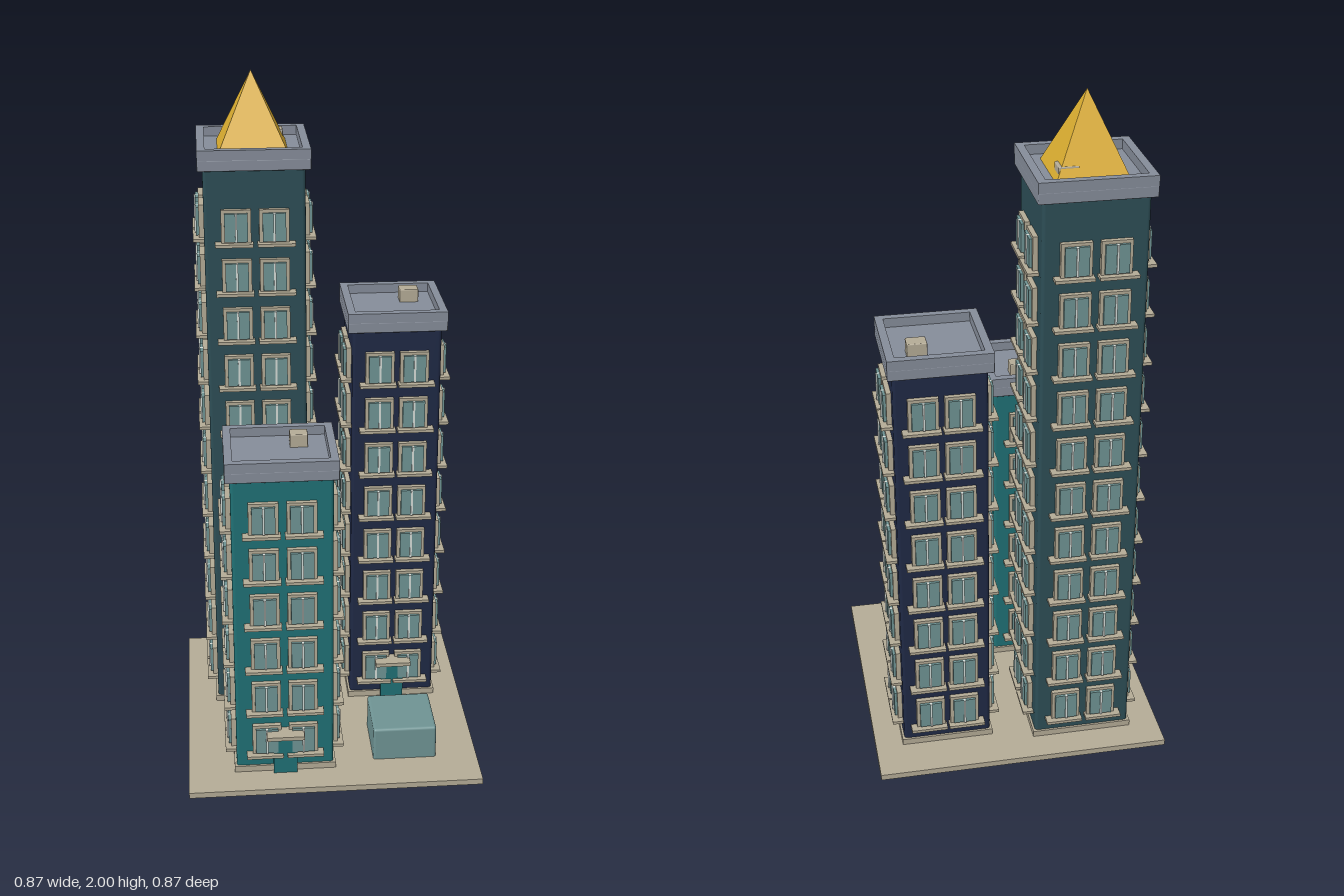
import * as THREE from 'three';
import { mergeGeometries } from 'three/addons/utils/BufferGeometryUtils.js';
import { RoundedBoxGeometry } from 'three/addons/geometries/RoundedBoxGeometry.js';

function material(name, color) {
  const m = new THREE.MeshStandardMaterial({ color });
  m.name = name;
  return m;
}

const mats = {
  stone: material('sandstone', 0xb5ac97),
  slate: material('slate roof', 0x868d9a),
  gold: material('gold', 0xdcae30),
  glass: material('glass teal', 0x6f9494),
  pale: material('pale mullion', 0xd5dcd8),
  darkTeal: material('dark teal wall', 0x2d4e56),
  navy: material('navy wall', 0x1f2945),
  teal: material('teal wall', 0x207175),
};

// Box spanning w x h x d around (x, y, z)
function box(w, h, d, x, y, z) {
  return new THREE.BoxGeometry(w, h, d).translate(x, y, z);
}

function rounded(w, h, d, r, x, y, z) {
  return new RoundedBoxGeometry(w, h, d, 2, r).translate(x, y, z);
}

function add(group, name, geometry, mat) {
  const mesh = new THREE.Mesh(geometry, mat);
  mesh.name = name;
  group.add(mesh);
}

const GROUND = 0.018;
const FIRST_ROW = 0.132;
const STOREY = 0.1457;

// Two windows per storey on each of the four walls
function addWindows(group, w, d, rows, spread) {
  const frames = [], panes = [], mullions = [], sills = [];
  for (let side = 0; side < 4; side++) {
    const wall = side % 2 ? w : d;
    const length = side % 2 ? d : w;
    const s = length < 0.25 ? 0.93 : 1;
    const place = (list, g) => list.push(g.translate(0, 0, wall / 2).rotateY(side * Math.PI / 2));
    for (let i = 0; i < rows; i++) {
      const y = FIRST_ROW + i * STOREY;
      for (const sx of [-1, 1]) {
        const x = sx * spread * s;
        place(frames, box(0.085 * s, 0.1, 0.018, x, y, 0.005));
        for (const p of [-1, 1]) {
          place(panes, box(0.03 * s, 0.082, 0.022, x + p * 0.018 * s, y, 0.011));
        }
        place(mullions, box(0.006, 0.082, 0.026, x, y, 0.013));
        place(sills, box(0.108 * s, 0.009, 0.032, sx * (spread + 0.006) * s, y - 0.05, 0.016));
      }
    }
  }
  add(group, 'windowFrames', mergeGeometries(frames), mats.stone);
  add(group, 'windowPanes', mergeGeometries(panes), mats.glass);
  add(group, 'windowMullions', mergeGeometries(mullions), mats.pale);
  add(group, 'windowSills', mergeGeometries(sills), mats.stone);
}

function makeTower({ name, x, z, w, d, top, rows, spread, wall, boxSize, boxAt }) {
  const g = new THREE.Group();
  g.name = name;
  g.position.set(x, 0, z);

  // Walls and plinth
  add(g, 'walls', rounded(w, top + 0.008, d, 0.01, 0, top / 2 + 0.006, 0), wall);
  add(g, 'plinth', box(w + 0.013, 0.024, d + 0.013, 0, 0.025, 0), mats.stone);
  addWindows(g, w, d, rows, spread);

  // Roof slab with a parapet around it
  const rw = w + 0.029, rd = d + 0.029, t = 0.023;
  add(g, 'roofSlab', rounded(rw, 0.032, rd, 0.003, 0, top + 0.016, 0), mats.slate);
  const parapet = [];
  for (const s of [-1, 1]) {
    parapet.push(box(rw, 0.029, t, 0, top + 0.045, s * (rd - t) / 2));
    parapet.push(box(t, 0.029, rd - 2 * t, s * (rw - t) / 2, top + 0.045, 0));
  }
  add(g, 'parapet', mergeGeometries(parapet), mats.slate);
  const [bw, bd] = boxSize;
  add(g, 'roofVent', rounded(bw, 0.042, bd, 0.003, boxAt[0], top + 0.05, boxAt[1]), mats.stone);

  // Entrance
  add(g, 'door', box(0.07, 0.125, 0.026, 0, GROUND + 0.0625, d / 2 + 0.007), mats.teal);
  add(g, 'doorCanopy', box(0.11, 0.012, 0.055, 0, 0.16, d / 2 + 0.0275), mats.stone);
  return g;
}

export function createModel() {
  const model = new THREE.Group();
  model.name = 'cityBlock';

  add(model, 'ground', box(0.87, GROUND, 0.87, 0, GROUND / 2, 0), mats.stone);

  const tall = makeTower({
    name: 'tallTower', x: -0.195, z: -0.195, w: 0.289, d: 0.289, top: 1.75, rows: 11,
    spread: 0.054, wall: mats.darkTeal, boxSize: [0.056, 0.05], boxAt: [0.063, -0.059],
  });
  // Four-sided gold spire
  const spire = new THREE.ConeGeometry(0.1 * Math.SQRT2, 0.219, 4, 1).toNonIndexed();
  spire.computeVertexNormals();
  spire.rotateY(Math.PI / 4).translate(0, 1.781 + 0.1095, 0);
  add(tall, 'spire', spire, mats.gold);
  model.add(tall);

  model.add(makeTower({
    name: 'middleTower', x: 0.215, z: -0.172, w: 0.263, d: 0.263, top: 1.265, rows: 8,
    spread: 0.051, wall: mats.navy, boxSize: [0.056, 0.046], boxAt: [0.054, -0.053],
  }));
  model.add(makeTower({
    name: 'shortTower', x: -0.147, z: 0.215, w: 0.289, d: 0.24, top: 0.975, rows: 6,
    spread: 0.054, wall: mats.teal, boxSize: [0.051, 0.042], boxAt: [0.057, -0.047],
  }));

  // Small block in the front corner
  add(model, 'kiosk', rounded(0.19, 0.113, 0.19, 0.008, 0.216, 0.0665, 0.216), mats.glass);
  return model;
}
